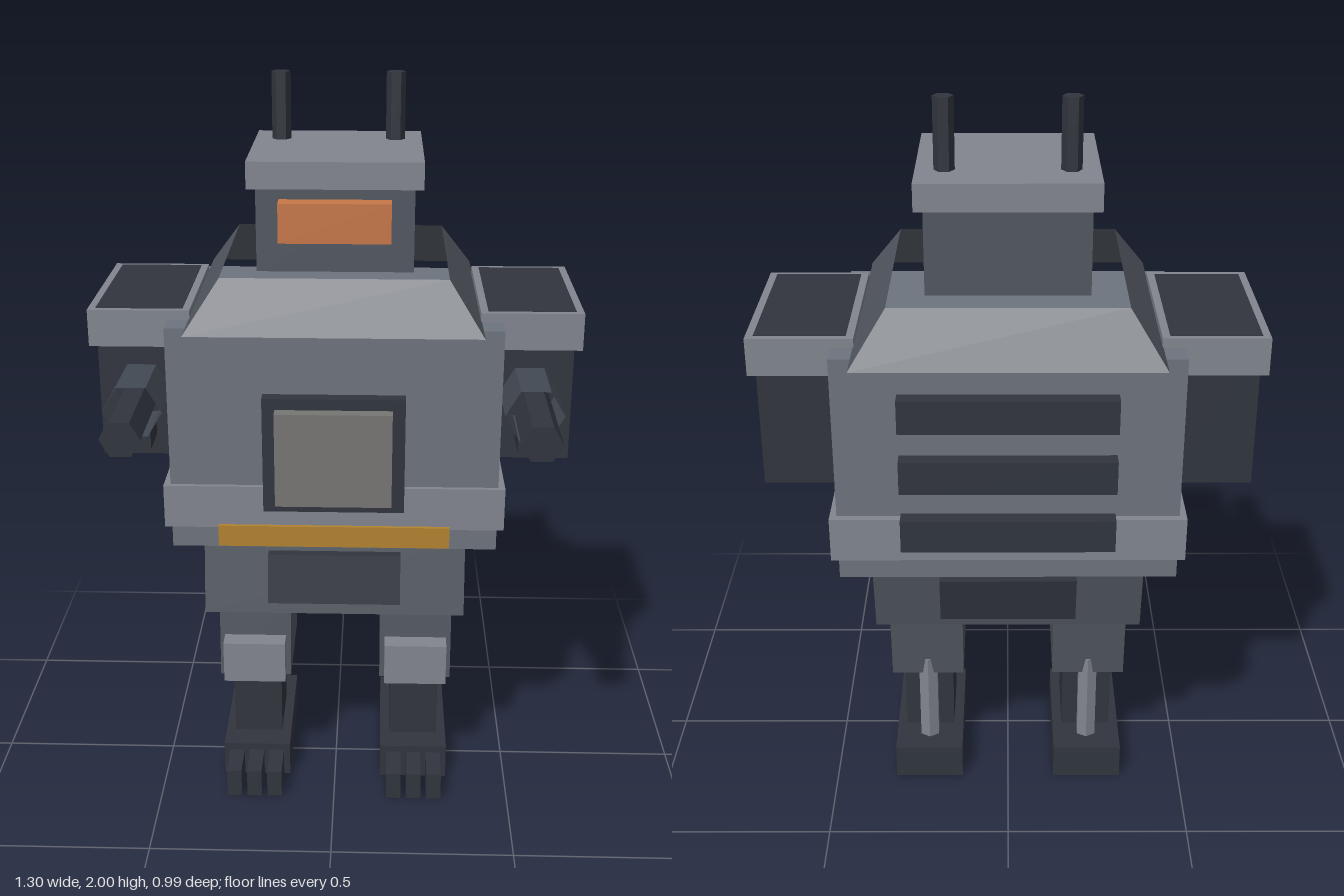
import * as THREE from 'three';

const material = (color, side = THREE.FrontSide) =>
  new THREE.MeshStandardMaterial({ color, side, flatShading: true });

const dark = material(0x31353e);
const mid = material(0x525861);
const steel = material(0x6e747e);
const light = material(0x82868f);
const orange = material(0xc87848);
const yellow = material(0xb48430);
const screen = material(0x777674);
const openMid = material(0x525861, THREE.DoubleSide);
const openSleeve = material(0x434953, THREE.DoubleSide);

export function createModel() {
  const model = new THREE.Group();
  model.name = 'robot';

  const add = (parent, name, geometry, mat) => {
    const mesh = new THREE.Mesh(geometry, mat);
    mesh.name = name;
    parent.add(mesh);
    return mesh;
  };

  // Box from its limits; lean moves the bottom forward in z relative to the top
  const box = (parent, name, mat, [x0, x1], [y0, y1], [z0, z1], lean = 0) => {
    const g = new THREE.BoxGeometry(x1 - x0, y1 - y0, z1 - z0);
    g.translate((x0 + x1) / 2, (y0 + y1) / 2, (z0 + z1) / 2);
    const p = g.attributes.position;
    for (let i = 0; lean && i < p.count; i++) {
      p.setZ(i, p.getZ(i) + lean * (y1 - p.getY(i)) / (y1 - y0));
    }
    g.computeVertexNormals();
    return add(parent, name, g, mat);
  };

  // Six-sided rod with corners to the left and right
  const hexRod = (radius, length, open = false) =>
    new THREE.CylinderGeometry(radius, radius, length, 6, 1, open).rotateY(Math.PI / 2);

  // Head
  const head = new THREE.Group();
  head.name = 'head';
  model.add(head);
  box(head, 'skull', mid, [-0.205, 0.205], [1.53, 1.75], [-0.307, 0.1]);
  box(head, 'headCap', light, [-0.227, 0.227], [1.75, 1.82], [-0.332, 0.123]);
  box(head, 'visor', orange, [-0.145, 0.145], [1.617, 1.72], [0.09, 0.153]);
  for (const s of [-1, 1]) {
    add(head, 'antenna', hexRod(0.026, 0.19), dark).position.set(s * 0.155, 1.905, -0.212);
  }

  // Sloped collar, open at the top and bottom
  const collar = new THREE.CylinderGeometry(
    0.295 * Math.SQRT2, 0.385 * Math.SQRT2, 0.13, 4, 1, true).rotateY(Math.PI / 4);
  add(model, 'collar', collar, openMid).position.set(0, 1.47, -0.108);

  // Torso with belt, chest screen and back vents
  const torso = new THREE.Group();
  torso.name = 'torso';
  model.add(torso);
  box(torso, 'chest', steel, [-0.44, 0.44], [0.785, 1.405], [-0.413, 0.207]);
  box(torso, 'belt', light, [-0.458, 0.458], [0.848, 0.968], [-0.433, 0.22]);
  box(torso, 'beltStripe', yellow, [-0.312, 0.312], [0.797, 0.857], [0.2, 0.23]);
  box(torso, 'screenFrame', dark, [-0.188, 0.188], [0.908, 1.228], [0.2, 0.245]);
  box(torso, 'screen', screen, [-0.154, 0.154], [0.938, 1.198], [0.24, 0.28]);
  for (let i = 0; i < 3; i++) {
    const y = 0.93 + i * 0.168;
    box(torso, 'backVent', dark, [-0.275, 0.275], [y - 0.045, y + 0.045], [-0.455, -0.4]);
  }

  // Pelvis, leaning forward towards the bottom
  box(model, 'pelvis', mid, [-0.36, 0.36], [0.575, 0.785], [-0.363, 0.157], 0.04);
  box(model, 'pelvisFrontPlate', dark, [-0.182, 0.182], [0.617, 0.752], [0.15, 0.192], 0.027);
  box(model, 'pelvisBackPlate', dark, [-0.182, 0.182], [0.617, 0.752], [-0.385, -0.34], 0.027);

  for (const s of [-1, 1]) {
    const side = s > 0 ? 'left' : 'right';

    // Arm: housing, shoulder pad and barrel
    const arm = new THREE.Group();
    arm.name = side + 'Arm';
    arm.position.x = s * 0.517;
    model.add(arm);
    box(arm, 'armHousing', dark, [-0.115, 0.115], [1.018, 1.4315], [-0.325, 0.112]);
    box(arm, 'shoulderPad', light, [-0.135, 0.135], [1.33, 1.43], [-0.343, 0.13]);
    const sleeve = add(arm, 'barrelSleeve', hexRod(0.077, 0.2, true), openSleeve);
    sleeve.rotation.x = Math.PI / 2;
    sleeve.position.set(0, 1.208, 0.2);
    const barrel = add(arm, 'barrel', hexRod(0.052, 0.39), dark);
    barrel.rotation.x = Math.PI / 2;
    barrel.position.set(0, 1.208, 0.297);
    box(arm, 'lowerSensor', dark, [-0.032, 0.032], [1.075, 1.125], [0.1, 0.22]);

    // Leg: thigh, knee, shin, piston and foot
    const leg = new THREE.Group();
    leg.name = side + 'Leg';
    leg.position.x = s * 0.23;
    model.add(leg);
    box(leg, 'thigh', mid, [-0.102, 0.102], [0.326, 0.576], [-0.222, 0.088], 0.024);
    box(leg, 'kneePad', light, [-0.088, 0.088], [0.328, 0.45], [0.08, 0.155]);
    box(leg, 'shin', dark, [-0.07, 0.07], [0.1, 0.33], [-0.142, 0.058]);
    const piston = new THREE.CylinderGeometry(0.03, 0.03, 0.28, 6);
    add(leg, 'piston', piston, light).position.set(0, 0.235, -0.177);
    box(leg, 'foot', dark, [-0.097, 0.097], [0, 0.102], [-0.258, 0.133]);
    for (const t of [-1, 0, 1]) {
      const x = t * 0.058;
      box(leg, 'toe', dark, [x - 0.021, x + 0.021], [0, 0.082], [0.12, 0.246]);
    }
  }

  return model;
}
